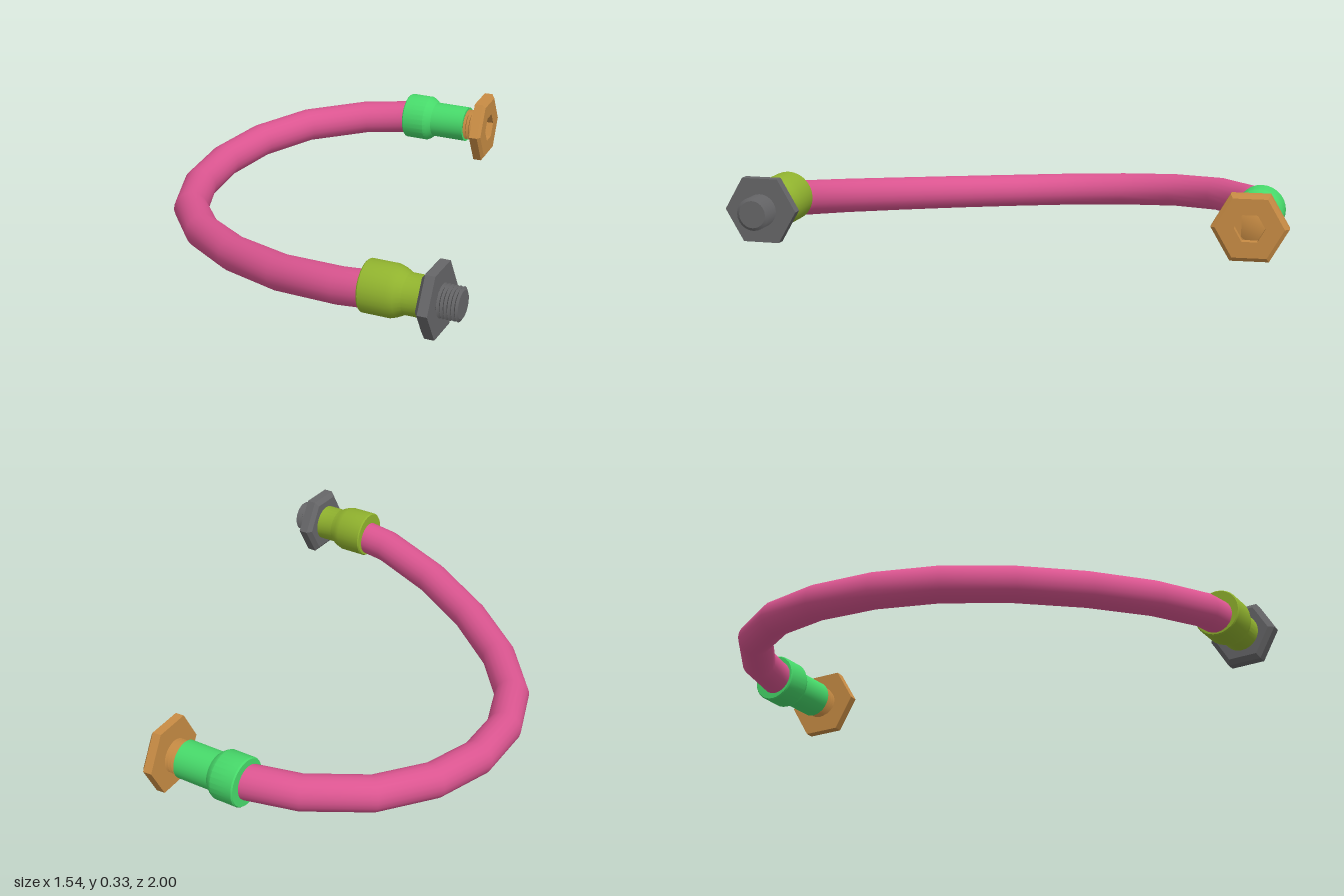
import * as THREE from 'three';
import { toCreasedNormals } from 'three/addons/utils/BufferGeometryUtils.js';

const mat = (name, color) => {
  const m = new THREE.MeshStandardMaterial({ color });
  m.name = name;
  return m;
};

// Revolve [along, radius] pairs about the x axis; 6 sides makes a hexagon
function turned(name, profile, sides, material) {
  const points = profile.map(([along, radius]) => new THREE.Vector2(radius, along));
  const geometry = new THREE.LatheGeometry(points, sides);
  geometry.rotateZ(-Math.PI / 2);
  const mesh = new THREE.Mesh(toCreasedNormals(geometry, 0.5), material);
  mesh.name = name;
  return mesh;
}

// Saw-tooth screw thread between two stations
function threadProfile(start, end, inner, outer, turns) {
  const profile = [[start, 0], [start, inner]];
  const pitch = (end - start) / turns;
  for (let i = 0; i < turns; i++) {
    profile.push([start + (i + 0.5) * pitch, outer], [start + (i + 1) * pitch, inner]);
  }
  profile.push([end, 0]);
  return profile;
}

// Stepped crimp sleeve: wide collar, short taper, narrow neck
function sleeveProfile(start, shoulder, neck, end) {
  return [[start, 0], [start, 0.09], [start + 0.005, 0.094], [shoulder, 0.094],
    [(shoulder + neck) / 2, 0.086], [neck, 0.073], [end, 0.073], [end, 0]];
}

export function createModel() {
  const pink = mat('hose pink', 0xdb5590);
  const green = mat('sleeve green', 0x47d96a);
  const olive = mat('sleeve olive', 0x90b22e);
  const brass = mat('brass', 0xc88c44);
  const steel = mat('steel grey', 0x666668);
  const model = new THREE.Group();
  model.name = 'hoseAssembly';

  // Curved hose, one ring per control point
  const path = [
    [-0.04, 0.145, -0.855], [-0.14, 0.142, -0.845], [-0.325, 0.131, -0.785],
    [-0.53, 0.115, -0.635], [-0.655, 0.097, -0.43], [-0.707, 0.08, -0.2],
    [-0.69, 0.07, 0.04], [-0.605, 0.07, 0.265], [-0.44, 0.086, 0.465],
    [-0.21, 0.115, 0.64], [0.05, 0.152, 0.775], [0.32, 0.193, 0.855],
    [0.5, 0.213, 0.865],
  ].map((p) => new THREE.Vector3(...p));
  const curve = new THREE.CatmullRomCurve3(path);
  curve.getPointAt = curve.getPoint;
  curve.getTangentAt = curve.getTangent;
  const hose = new THREE.Mesh(new THREE.TubeGeometry(curve, path.length - 1, 0.067, 20), pink);
  hose.name = 'hose';
  model.add(hose);

  // Rear fitting: sleeve, thread and slightly tilted hex nut with a socket
  const rear = new THREE.Group();
  rear.name = 'rearFitting';
  rear.position.set(0, 0.145, -0.855);
  rear.add(turned('rearSleeve', sleeveProfile(-0.145, -0.05, -0.02, 0.125), 28, green));
  rear.add(turned('rearThread', threadProfile(0.12, 0.19, 0.052, 0.065, 5), 24, brass));
  const rearNut = turned('rearNut', [
    [-0.022, 0], [-0.022, 0.145], [0.012, 0.145], [0.023, 0.128],
    [0.023, 0.058], [-0.012, 0.058], [-0.012, 0],
  ], 6, brass);
  rearNut.position.x = 0.2;
  rearNut.rotation.y = 0.06;
  rear.add(rearNut);
  model.add(rear);

  // Front fitting: sleeve, hex nut and exposed threaded stub
  const front = new THREE.Group();
  front.name = 'frontFitting';
  front.position.set(0, 0.22, 0.863);
  front.add(turned('frontSleeve', sleeveProfile(0.42, 0.525, 0.575, 0.65), 28, olive));
  front.add(turned('frontNut', [
    [0.645, 0], [0.645, 0.115], [0.66, 0.136], [0.696, 0.136], [0.696, 0],
  ], 6, steel));
  front.add(turned('frontThread', threadProfile(0.69, 0.77, 0.05, 0.061, 6), 24, steel));
  model.add(front);

  return model;
}
